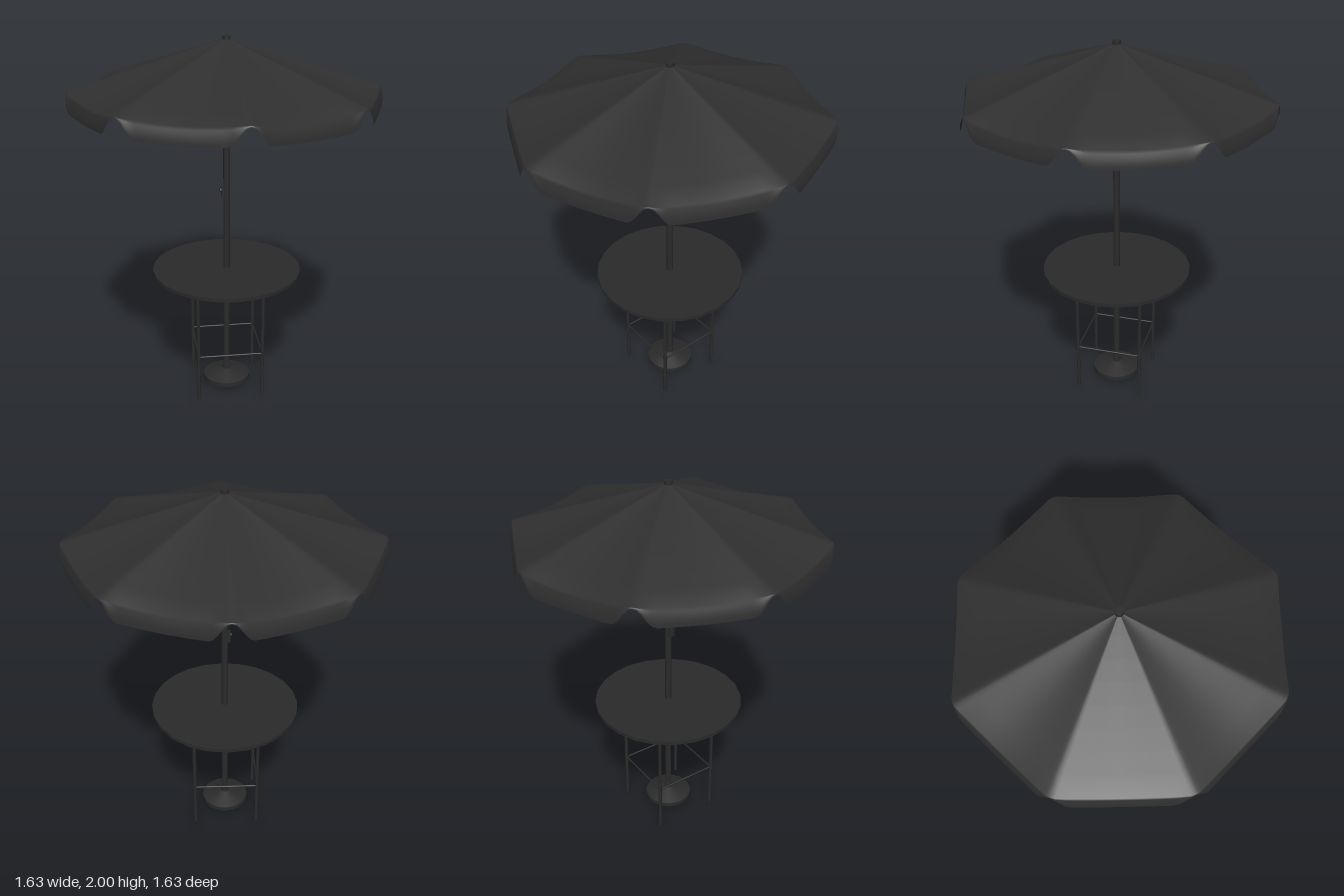
import * as THREE from 'three';

const fabric = new THREE.MeshStandardMaterial({ color: 0x2f2f2f, side: THREE.DoubleSide });
fabric.name = 'charcoal fabric';
const metal = new THREE.MeshStandardMaterial({ color: 0x2a2a2a });
metal.name = 'dark metal';

function add(parent, name, geometry, x = 0, y = 0, z = 0, material = metal) {
  const mesh = new THREE.Mesh(geometry, material);
  mesh.name = name;
  mesh.position.set(x, y, z);
  parent.add(mesh);
  return mesh;
}

// Upright rod between two heights
function rod(parent, name, r, y0, y1, x = 0, z = 0, sides = 16) {
  return add(parent, name, new THREE.CylinderGeometry(r, r, y1 - y0, sides), x, (y0 + y1) / 2, z);
}

// Eight-panel canopy: sagging panels, then a scalloped valance notched at each rib
function canopyGeometry() {
  const panels = 8, perPanel = 32, slopeRows = 8, valanceRows = 6;
  const n = panels * perPanel, rows = slopeRows + valanceRows;
  const half = Math.PI / panels, pos = [], index = [];
  for (let i = 0; i <= rows; i++) {
    for (let j = 0; j < n; j++) {
      const theta = (j / n) * Math.PI * 2;
      const u = (j % perPanel) / perPanel;
      const phi = Math.min(u, 1 - u) * 2 * half;      // angle from the nearest rib
      const sag = Math.sin(Math.PI * u);
      const seamR = Math.min(0.813, 0.757 / Math.cos(half - phi));
      const outerR = Math.min(0.816, 0.776 / Math.cos(half - phi));
      const seamY = 1.737 - 0.022 * sag;
      const hemY = 1.731 - 0.085 * THREE.MathUtils.smoothstep(phi * 0.81, 0.004, 0.1) - 0.014 * sag;
      let r, y;
      if (i <= slopeRows) {
        const t = i / slopeRows;
        r = seamR * t;
        y = THREE.MathUtils.lerp(1.988, seamY, t);
      } else {
        const v = (i - slopeRows) / valanceRows;
        r = THREE.MathUtils.lerp(seamR, outerR, Math.sin(v * Math.PI / 2));
        y = THREE.MathUtils.lerp(seamY, hemY, v);
      }
      pos.push(r * Math.cos(theta), y, r * Math.sin(theta));
      if (i < rows) {
        const k = (j + 1) % n;
        const a = i * n + j, b = i * n + k, c = a + n, d = b + n;
        if (i > 0) index.push(a, b, c);
        index.push(b, d, c);
      }
    }
  }
  const g = new THREE.BufferGeometry();
  g.setAttribute('position', new THREE.Float32BufferAttribute(pos, 3));
  g.setIndex(index);
  g.computeVertexNormals();
  return g;
}

export function createModel() {
  const model = new THREE.Group();
  model.name = 'parasolTable';

  // Parasol
  const parasol = new THREE.Group();
  parasol.name = 'parasol';
  model.add(parasol);
  add(parasol, 'canopy', canopyGeometry(), 0, 0, 0, fabric);
  rod(parasol, 'pole', 0.018, 0.05, 1.98);
  rod(parasol, 'finial', 0.021, 1.98, 2.0);

  // Crank housing and handle on the pole
  add(parasol, 'crankHousing', new THREE.BoxGeometry(0.016, 0.06, 0.03), -0.022, 1.17, 0.004);
  const knob = add(parasol, 'crankKnob', new THREE.CylinderGeometry(0.011, 0.011, 0.012, 12), -0.031, 1.182, 0.004);
  knob.rotation.z = Math.PI / 2;

  // Weighted base: disc, shallow cone and collar
  const base = new THREE.Group();
  base.name = 'base';
  parasol.add(base);
  rod(base, 'baseDisc', 0.132, 0.03, 0.054, 0, 0, 32);
  add(base, 'baseCone', new THREE.CylinderGeometry(0.026, 0.13, 0.032, 32), 0, 0.07, 0);
  rod(base, 'baseCollar', 0.023, 0.08, 0.114);

  // Table
  const table = new THREE.Group();
  table.name = 'table';
  model.add(table);
  rod(table, 'tableTop', 0.41, 0.71, 0.73, 0, 0, 24);
  const s = 0.179;
  for (let i = 0; i < 4; i++) {
    const side = new THREE.Group();
    side.name = 'legAndStretcher';
    side.rotation.y = i * Math.PI / 2;
    table.add(side);
    rod(side, 'leg', 0.0095, 0, 0.712, s, s, 12);
    const bar = add(side, 'stretcher', new THREE.CylinderGeometry(0.005, 0.005, 2 * s, 8), 0, 0.265, s);
    bar.rotation.z = Math.PI / 2;
  }
  return model;
}
